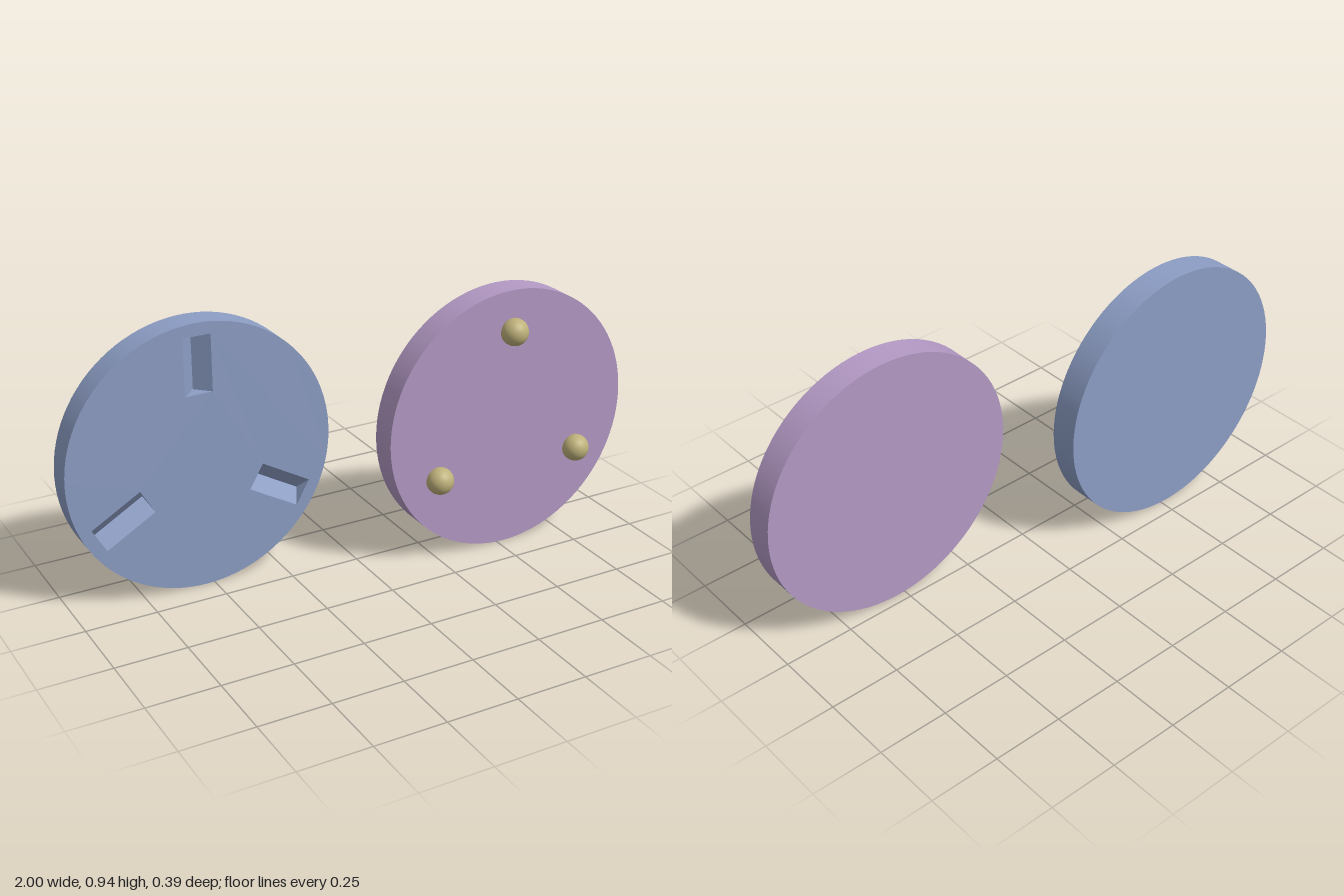
import * as THREE from 'three';

const R = 0.4715;       // disc radius
const T = 0.098;        // disc thickness
const PITCH = 0.327;    // radius of the circle carrying balls and grooves
const SEG = 96;
const W = 0.049, L = 0.1, D = 0.049; // groove half width, half length, depth

const paint = (color) => new THREE.MeshStandardMaterial({ color });

function add(parent, name, geometry, material) {
  const mesh = new THREE.Mesh(geometry, material);
  mesh.name = name;
  parent.add(mesh);
  return mesh;
}

// V-shaped pocket: two sloping walls and two triangular ends, open towards +z
function grooveGeometry() {
  const corners = (y) => [[-W, y, 0], [0, y, -D], [W, y, 0]];
  const [a, b, c] = corners(-L);
  const [d, e, f] = corners(L);
  const triangles = [a, b, e, a, e, d, b, c, f, b, f, e, d, e, f, c, b, a];
  const geometry = new THREE.BufferGeometry();
  geometry.setAttribute('position', new THREE.Float32BufferAttribute(triangles.flat(), 3));
  geometry.computeVertexNormals();
  return geometry;
}

// Disc with three radial V grooves cut into its front face
function groovedDisc(material, angles) {
  const group = new THREE.Group();
  group.name = 'groovedDisc';

  const face = new THREE.Shape().absarc(0, 0, R, 0, Math.PI * 2, false);
  for (const angle of angles) {
    const turn = (x, y) => new THREE.Vector2(x, y + PITCH).rotateAround(new THREE.Vector2(), angle);
    face.holes.push(new THREE.Path([turn(-W, -L), turn(-W, L), turn(W, L), turn(W, -L)]));

    const groove = add(group, 'grooveWalls', grooveGeometry(), material);
    groove.position.set(-PITCH * Math.sin(angle), PITCH * Math.cos(angle), T / 2);
    groove.rotation.z = angle;
  }
  add(group, 'frontFace', new THREE.ShapeGeometry(face, SEG), material).position.z = T / 2;

  const back = add(group, 'backFace', new THREE.CircleGeometry(R, SEG), material);
  back.position.z = -T / 2;
  back.rotation.y = Math.PI;

  const rim = new THREE.CylinderGeometry(R, R, T, SEG, 1, true).rotateX(Math.PI / 2);
  add(group, 'rim', rim, material);
  return group;
}

// Plain disc with three balls half sunk into its front face
function ballDisc(material, ballMaterial, angles) {
  const group = new THREE.Group();
  group.name = 'ballDisc';
  add(group, 'plate', new THREE.CylinderGeometry(R, R, T, SEG).rotateX(Math.PI / 2), material);
  for (const angle of angles) {
    const ball = add(group, 'ball', new THREE.SphereGeometry(0.048, 40, 28), ballMaterial);
    ball.position.set(-PITCH * Math.sin(angle), PITCH * Math.cos(angle), 0.064);
  }
  return group;
}

export function createModel() {
  const model = new THREE.Group();
  model.name = 'kinematicCoupling';
  const angles = [0, 1, 2].map((i) => (i * Math.PI * 2) / 3);

  const grooved = groovedDisc(paint(0x8c9dc4), angles);
  grooved.position.set(-0.5285, R, -0.144);

  const balls = ballDisc(paint(0xb399c4), paint(0xbdb07a), angles);
  balls.position.set(0.5285, R, 0.082);

  model.add(grooved, balls);
  return model;
}
